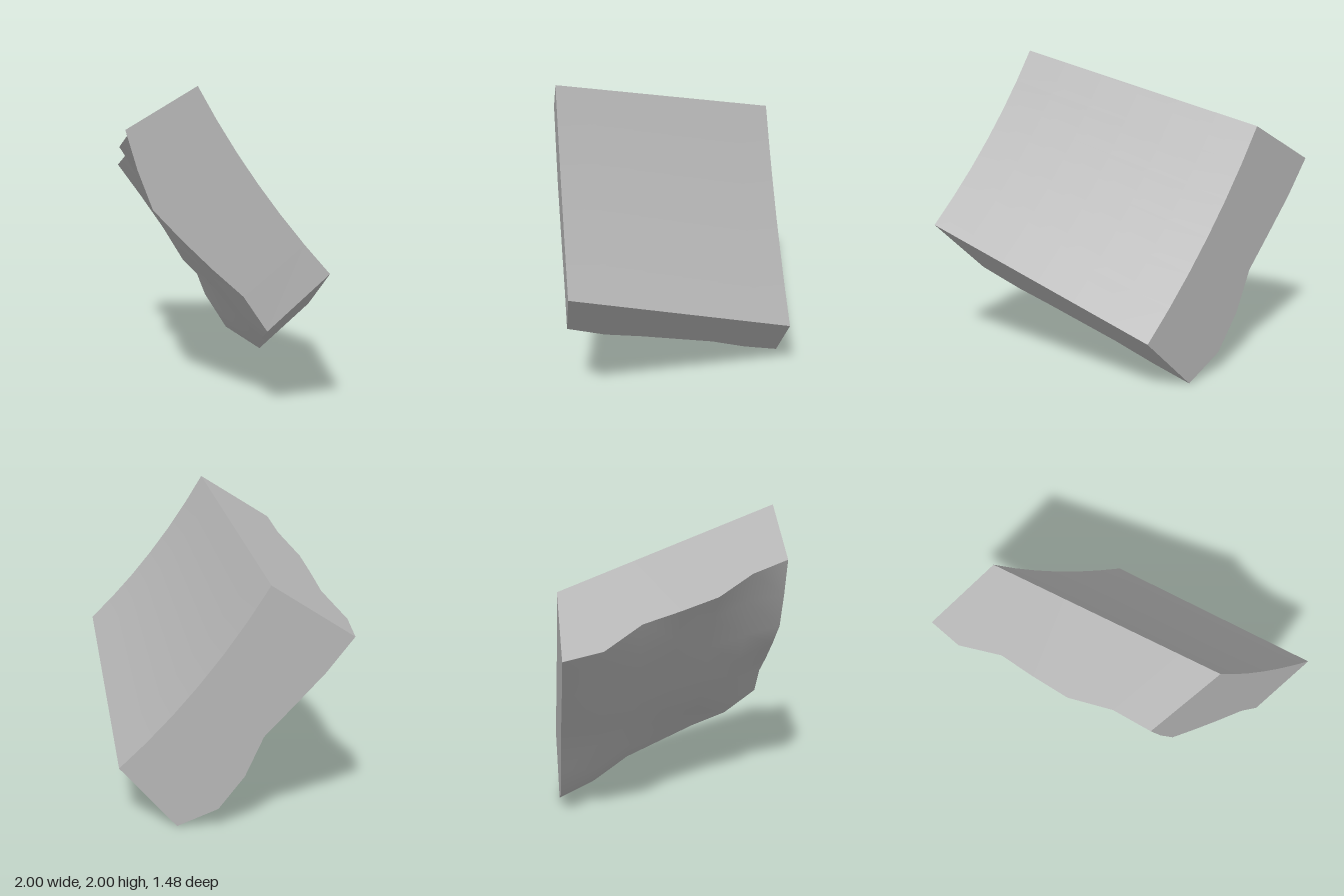
import * as THREE from 'three';

const N = 6;                       // steps along the arc and through the depth
const CX = 4.68, CY = 4.6;         // axis of the ring this block is cut from
const DEPTH = 1.48;

// Outward bumps of the rough face: rows run back to front, columns along the arc
const BUMPS = [
  [0.02, 0.00, -0.03, -0.05, 0.03, 0.06, -0.035],
  [0.08, 0.04, 0.02, 0.03, -0.02, 0.02, -0.02],
  [0.00, 0.02, 0.00, -0.04, -0.05, -0.02, -0.06],
  [0.03, 0.02, -0.02, -0.02, 0.01, -0.04, -0.04],
  [0.05, -0.02, 0.00, 0.03, 0.02, -0.02, -0.02],
  [-0.02, -0.03, 0.04, 0.04, 0.02, 0.04, 0.02],
  [-0.01, 0.05, 0.10, 0.05, 0.00, -0.05, -0.02],
];

// Point of the block: i along the arc, j from back to front, k = 0 inner or 1 outer
function blockPoint(i, j, k) {
  const angle = THREE.MathUtils.degToRad(210 + (15 * i) / N);
  const inner = 5.98 - (0.78 * j) / N;
  const r = inner + k * (0.56 + BUMPS[j][i]);
  return [CX + r * Math.cos(angle), CY + r * Math.sin(angle), (j / N - 0.5) * DEPTH];
}

// Grid surface facing along (u direction) x (v direction)
function gridSurface(nu, nv, point) {
  const positions = [], indices = [];
  for (let v = 0; v <= nv; v++) {
    for (let u = 0; u <= nu; u++) positions.push(...point(u, v));
  }
  for (let v = 0; v < nv; v++) {
    for (let u = 0; u < nu; u++) {
      const a = v * (nu + 1) + u, d = a + nu + 1;
      indices.push(a, a + 1, d + 1, a, d + 1, d);
    }
  }
  const geometry = new THREE.BufferGeometry();
  geometry.setAttribute('position', new THREE.Float32BufferAttribute(positions, 3));
  geometry.setIndex(indices);
  geometry.computeVertexNormals();
  return geometry;
}

export function createModel() {
  const group = new THREE.Group();
  group.name = 'curvedStoneBlock';
  const stone = new THREE.MeshStandardMaterial({ color: 0xb4b4b4 });
  stone.name = 'grey stone';

  const add = (name, nu, nv, point) => {
    const mesh = new THREE.Mesh(gridSurface(nu, nv, point), stone);
    mesh.name = name;
    group.add(mesh);
  };

  // Curved faces
  add('roughOuterFace', N, N, (u, v) => blockPoint(u, v, 1));
  add('smoothInnerFace', N, N, (u, v) => blockPoint(v, u, 0));
  // Flat front and back
  add('frontFace', 1, N, (u, v) => blockPoint(v, N, u));
  add('backFace', N, 1, (u, v) => blockPoint(u, 0, v));
  // Flat ends of the arc
  add('upperEnd', 1, N, (u, v) => blockPoint(0, v, u));
  add('lowerEnd', N, 1, (u, v) => blockPoint(N, u, v));

  return group;
}
